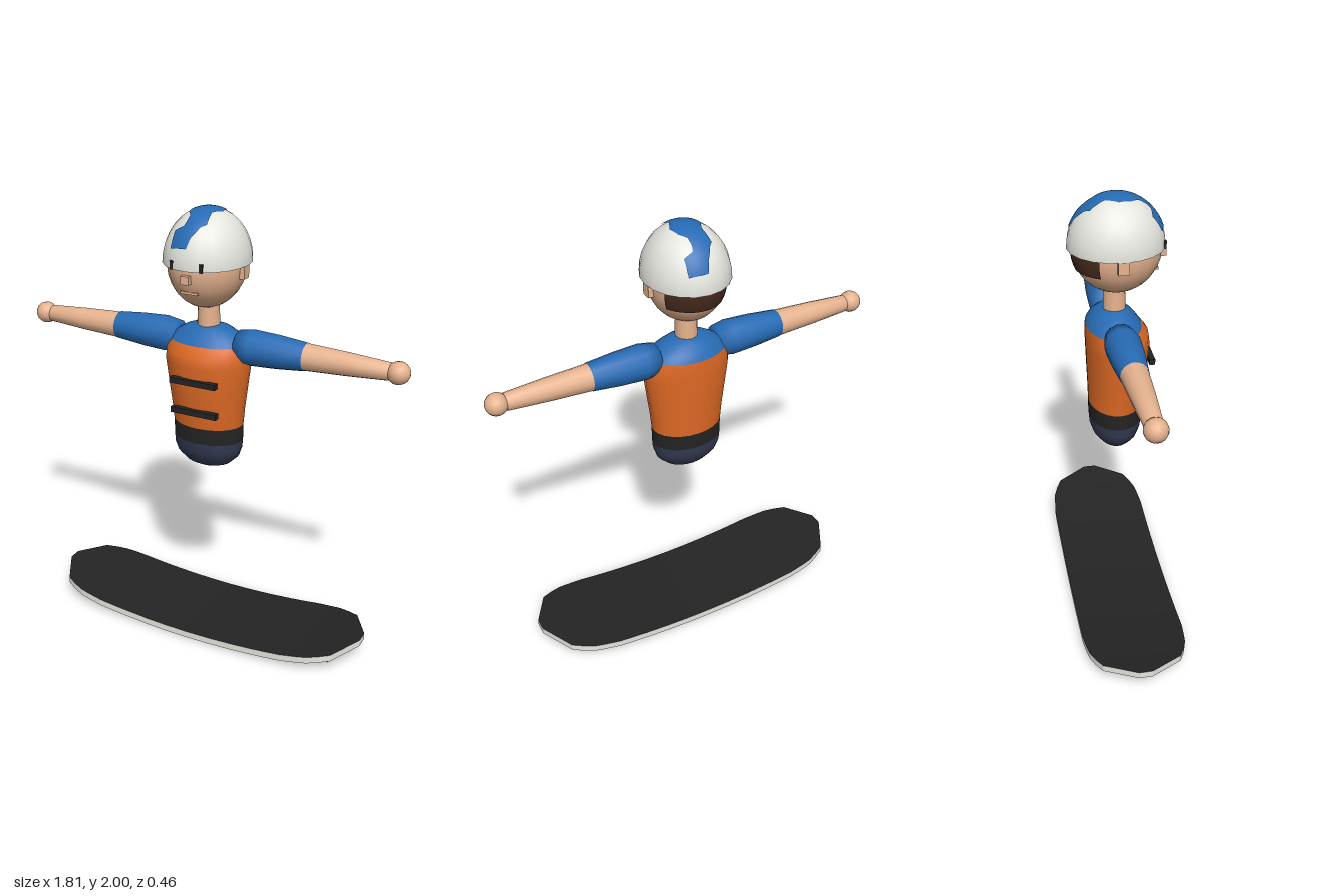
import * as THREE from 'three';
import { mergeVertices } from 'three/addons/utils/BufferGeometryUtils.js';

const mat = (name, color, side = THREE.FrontSide) => {
  const m = new THREE.MeshStandardMaterial({ color, side });
  m.name = name;
  return m;
};

// Surface through a grid of points; faces point along du x dv
function grid(nu, nv, point, smooth = true) {
  const pos = [], idx = [];
  for (let j = 0; j <= nv; j++) for (let i = 0; i <= nu; i++) pos.push(...point(i, j));
  for (let j = 0; j < nv; j++) for (let i = 0; i < nu; i++) {
    const a = j * (nu + 1) + i, b = a + 1, d = a + nu + 1, c = d + 1;
    idx.push(a, b, c, a, c, d);
  }
  let g = new THREE.BufferGeometry();
  g.setAttribute('position', new THREE.Float32BufferAttribute(pos, 3));
  g.setIndex(idx);
  g = smooth ? mergeVertices(g, 1e-5) : g.toNonIndexed();
  g.computeVertexNormals();
  return g;
}

export function createModel() {
  const root = new THREE.Group();
  root.name = 'rider';
  const skin = mat('skin', 0xe6b38f), orange = mat('vestOrange', 0xe06a26), blue = mat('shirtBlue', 0x276bb4);
  const navy = mat('shortsNavy', 0x343a52), black = mat('black', 0x242424), white = mat('white', 0xe6e6e0);
  const teal = mat('teal', 0x1d98ac), brown = mat('hairBrown', 0x472b1e, THREE.DoubleSide);

  const add = (name, geo, material, x = 0, y = 0, z = 0, parent = root) => {
    const m = new THREE.Mesh(geo, material);
    m.name = name;
    m.position.set(x, y, z);
    parent.add(m);
    return m;
  };
  const box = (name, material, w, h, d, x, y, z) => add(name, new THREE.BoxGeometry(w, h, d), material, x, y, z);

  // Torso: stacked oval sections [y, half width, front depth, back depth]
  const torso = (name, material, rows) => add(name, grid(24, rows.length - 1, (i, j) => {
    const [y, rx, zf, zb] = rows[j], a = ((i % 24) / 24) * Math.PI * 2, c = Math.cos(a);
    return [rx * Math.sin(a), y, c * (c > 0 ? zf : zb)];
  }), material);
  torso('shorts', navy, [[0.82, 0, 0, 0], [0.822, 0.04, 0.03, 0.03], [0.845, 0.105, 0.07, 0.07], [0.885, 0.147, 0.1, 0.1],
    [0.925, 0.16, 0.115, 0.113], [0.965, 0.163, 0.118, 0.116]]);
  torso('waistband', black, [[0.965, 0.163, 0.118, 0.116], [1.04, 0.164, 0.12, 0.117]]);
  torso('vest', orange, [[1.04, 0.164, 0.12, 0.117], [1.12, 0.171, 0.131, 0.119], [1.2, 0.181, 0.141, 0.122],
    [1.33, 0.198, 0.152, 0.126], [1.38, 0.196, 0.146, 0.127], [1.42, 0.184, 0.115, 0.125]]);
  torso('shoulders', blue, [[1.42, 0.184, 0.115, 0.125], [1.45, 0.155, 0.095, 0.11], [1.48, 0.105, 0.065, 0.08],
    [1.495, 0.05, 0.045, 0.045], [1.497, 0, 0, 0]]);
  box('upperStrap', black, 0.22, 0.026, 0.025, 0, 1.267, 0.148);
  box('lowerStrap', black, 0.22, 0.026, 0.025, 0, 1.124, 0.138);

  // Arms, turned on the lathe and laid sideways
  const lathe = (pts) => new THREE.LatheGeometry(pts.map(([r, y]) => new THREE.Vector2(r, y)), 14);
  for (const s of [1, -1]) {
    const arm = new THREE.Group();
    arm.name = s > 0 ? 'leftArm' : 'rightArm';
    arm.position.y = 1.416;
    arm.rotation.z = -s * Math.PI / 2;
    root.add(arm);
    add('sleeve', lathe([[0, 0.14], [0.068, 0.145], [0.079, 0.21], [0.073, 0.33], [0.061, 0.455], [0.055, 0.456]]), blue, 0, 0, 0, arm);
    add('forearm', lathe([[0.059, 0.45], [0.05, 0.64], [0.038, 0.82], [0, 0.825]]), skin, 0, 0, 0, arm);
    add('hand', new THREE.SphereGeometry(0.049, 14, 10), skin, 0, 0.857, 0, arm);
  }

  // Head
  add('neck', new THREE.CylinderGeometry(0.046, 0.05, 0.14, 16), skin, 0, 1.55, 0);
  add('head', new THREE.SphereGeometry(1, 20, 14), skin, 0, 1.768, 0.01).scale.set(0.165, 0.193, 0.19);
  add('hair', new THREE.SphereGeometry(1, 16, 5, Math.PI * 7 / 6, Math.PI * 2 / 3, 1.4, 0.59), brown, 0, 1.768, 0.01)
    .scale.set(0.169, 0.197, 0.194);
  box('nose', skin, 0.036, 0.036, 0.035, 0, 1.738, 0.2);
  box('mouth', skin, 0.08, 0.01, 0.02, 0, 1.675, 0.171);
  for (const s of [1, -1]) {
    box('ear', skin, 0.03, 0.055, 0.046, s * 0.166, 1.746, 0.008);
    box('eye', black, 0.014, 0.036, 0.024, s * 0.067, 1.792, 0.193);
  }

  // Helmet dome, rim and wavy stripe
  const hx = 0.187, hy = 0.225, hz = 0.208, helmetY = 1.775, helmetZ = 0.007;
  add('helmet', new THREE.SphereGeometry(1, 20, 8, 0, Math.PI * 2, 0, Math.PI / 2), white, 0, helmetY, helmetZ).scale.set(hx, hy, hz);
  const rim = new THREE.RingGeometry(0.8, 1, 20);
  rim.rotateX(Math.PI / 2);
  add('helmetRim', rim, blue, 0, helmetY, helmetZ).scale.set(hx, 1, hz);

  // Stripe rows [degrees from crown, right edge, left edge]; the rear half is the front turned around
  const front = [[67, -0.08, 0], [55, -0.08, 0.01], [45, -0.08, 0.03], [41, -0.04, 0.035], [35, -0.035, 0.055],
    [25, -0.035, 0.05], [15, -0.06, 0.045], [0, -0.07, 0.07]];
  const stripe = [...front, ...front.slice(0, -1).reverse().map(([a, l, r]) => [-a, -r, -l])];
  const n = 3;
  add('helmetStripe', grid(8, (stripe.length - 1) * n, (i, j) => {
    const k = Math.min(Math.floor(j / n), stripe.length - 2), t = j / n - k;
    const [deg, l, r] = stripe[k].map((v, q) => THREE.MathUtils.lerp(v, stripe[k + 1][q], t));
    const x = l + (r - l) * i / 8, R = 1.015 * Math.sqrt(1 - (x / hx) ** 2), a = THREE.MathUtils.degToRad(deg);
    return [x, hy * R * Math.cos(a), hz * R * Math.sin(a)];
  }), blue, 0, helmetY, helmetZ);

  // Board: columns [x, half width], bent upward at both ends
  const half = [[0.785, 0.03], [0.7, 0.175], [0.65, 0.2], [0.6, 0.218], [0.56, 0.224], [0.48, 0.232], [0.41, 0.232],
    [0.336, 0.232], [0.224, 0.232], [0.112, 0.232]];
  const cols = [...half.map(([x, w]) => [-x, w]), [0, 0.232], ...half.slice().reverse()];
  const bend = (x) => 0.082 * (x / 0.785) ** 2;
  const thick = 0.032;
  add('deck', grid(cols.length - 1, 1, (i, j) => [cols[i][0], bend(cols[i][0]) + thick, cols[i][1] * (1 - 2 * j)]), black);
  const loop = [...cols.map(([x, w]) => [x, w]), ...cols.slice().reverse().map(([x, w]) => [x, -w])];
  add('boardEdge', grid(loop.length, 1, (i, j) => {
    const [x, z] = loop[i % loop.length];
    return [x, bend(x) + j * thick, z];
  }, false), white);

  // Seven alternating bands on the underside
  const cuts = [-0.785, -0.56, -0.336, -0.112, 0.112, 0.336, 0.56, 0.785];
  for (let b = 0; b < 7; b++) {
    const part = cols.filter(([x]) => x >= cuts[b] - 1e-6 && x <= cuts[b + 1] + 1e-6);
    add('undersideBand', grid(part.length - 1, 1, (i, j) => [part[i][0], bend(part[i][0]), part[i][1] * (2 * j - 1)]),
      b % 2 ? white : teal);
  }

  // Fins
  const finShape = new THREE.Shape([[-0.635, 0.052], [-0.695, 0.066], [-0.677, 0.026], [-0.66, 0.03]].map((p) => new THREE.Vector2(...p)));
  const fin = new THREE.ExtrudeGeometry(finShape, { depth: 0.014, bevelEnabled: false });
  fin.translate(0, 0, -0.007);
  const finTurned = fin.clone().rotateY(Math.PI);
  for (const z of [-0.13, 0.13]) {
    add('fin', fin, black, 0, 0, z);
    add('fin', finTurned, black, 0, 0, z);
  }
  return root;
}
